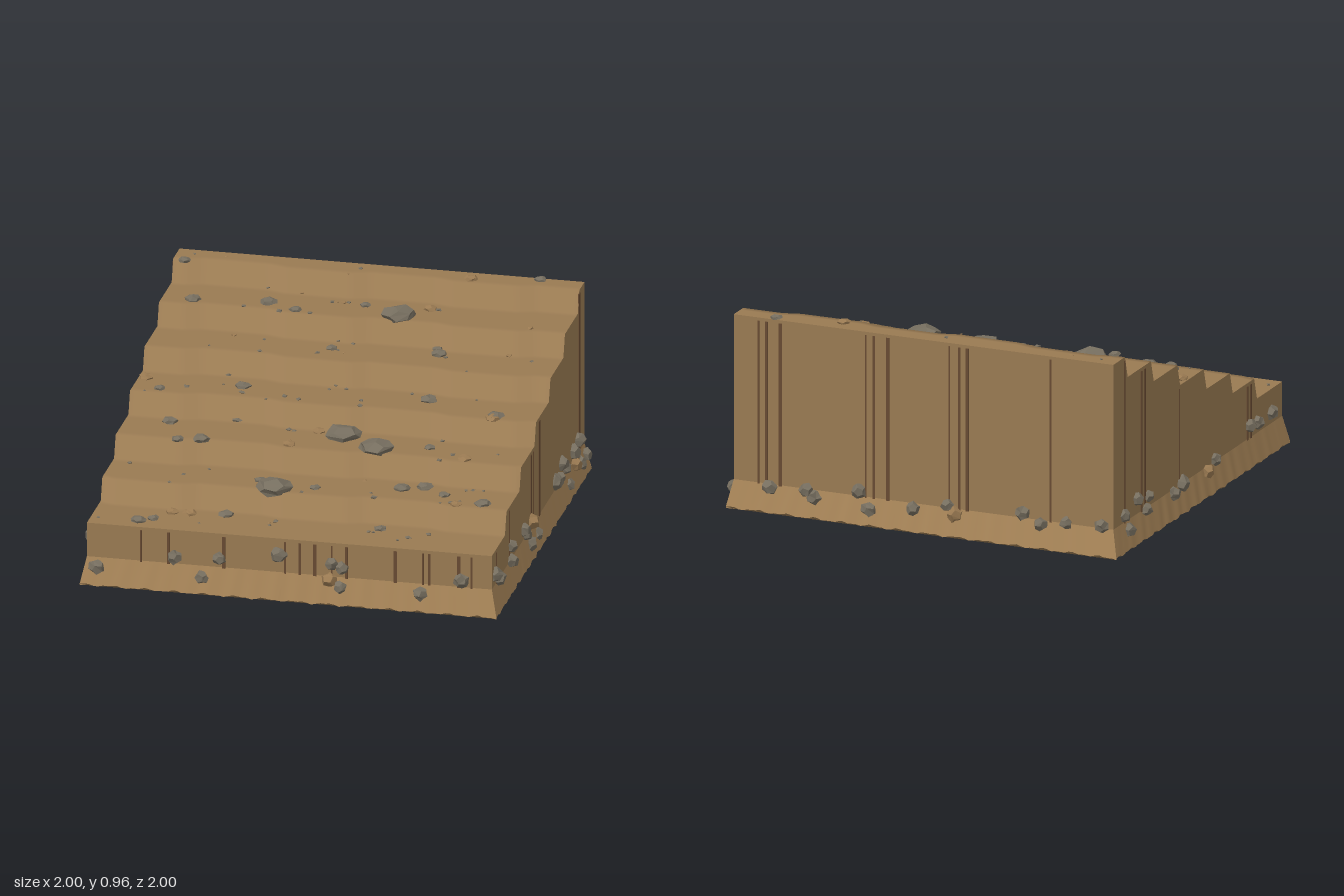
import * as THREE from 'three';
import { toCreasedNormals } from 'three/addons/utils/BufferGeometryUtils.js';

const mat = (name, color, extra = {}) => new THREE.MeshStandardMaterial({ name, color, ...extra });
const HALF = 0.955, BASE = 0.31, RISE = 0.105, STEPS = 6;
const TOP = BASE + RISE * STEPS;

// small seeded generator
function seeded(seed) {
  return () => {
    seed = (seed * 1664525 + 1013904223) % 4294967296;
    return seed / 4294967296;
  };
}

// surface from a rule: fn(i, j) gives a point, i over nu cells and j over nv cells
function grid(nu, nv, fn, crease = 0.6) {
  const pos = [], idx = [], w = nv + 1;
  for (let i = 0; i <= nu; i++) for (let j = 0; j <= nv; j++) pos.push(...fn(i, j));
  for (let i = 0; i < nu; i++) for (let j = 0; j < nv; j++) {
    const a = i * w + j, b = a + w;
    idx.push(a, a + 1, b, b, a + 1, b + 1);
  }
  const g = new THREE.BufferGeometry();
  g.setAttribute('position', new THREE.Float32BufferAttribute(pos, 3));
  g.setIndex(idx);
  return toCreasedNormals(g, crease);
}

// wandering line of each riser
function riserZ(i, x) {
  const s = THREE.MathUtils.clamp(Math.sin(x * 8 + i * 0.5 + 1.2) * 3, -1, 1);
  return 0.658 - 0.295 * i + s * 0.012 - Math.sin(x * 3 + i) * 0.004;
}

// stepped cross-section at x, from front to back
function profile(x) {
  const p = [[HALF, BASE]];
  for (let i = 0; i < STEPS; i++) {
    const z = riserZ(i, x), y = BASE + RISE * i;
    p.push([z + 0.05, y], [z + 0.016, y], [z - 0.016, y + RISE], [z - 0.05, y + RISE]);
  }
  p.push([-HALF, TOP]);
  return p;
}

function heightAt(x, z) {
  let y = BASE;
  for (let i = 0; i < STEPS; i++) if (z < riserZ(i, x)) y += RISE;
  return y;
}

export function createModel() {
  const root = new THREE.Group();
  root.name = 'steppedEarthBlock';
  const earth = mat('earth', 0x997a52, { side: THREE.DoubleSide });
  const loose = mat('looseEarth', 0xa98659, { side: THREE.DoubleSide });
  const streak = mat('streakBrown', 0x674a32);
  const stone = mat('greyStone', 0x766e5f, { flatShading: true });
  const clay = mat('clayStone', 0x9a7a52, { flatShading: true });
  const add = (name, geo, m, parent = root) => {
    const mesh = new THREE.Mesh(geo, m);
    mesh.name = name;
    parent.add(mesh);
    return mesh;
  };

  // stepped top with softly rounded shading at the risers
  const N = 96, last = 4 * STEPS + 1;
  const colX = i => -HALF + (2 * HALF * i) / N;
  add('terraces', grid(last, N, (j, i) => {
    const [z, y] = profile(colX(i))[j];
    return [colX(i), y, z];
  }, 1.5), earth);

  // side walls under the stepped outline, then front and back walls
  for (const s of [1, -1]) {
    const p = profile(s * HALF);
    add(s > 0 ? 'leftWall' : 'rightWall', grid(last, 1, (i, j) => {
      const [z, y] = p[s > 0 ? i : last - i];
      return [s * HALF, j ? 0.13 : y, z];
    }), earth);
    add(s > 0 ? 'frontWall' : 'backWall', grid(1, 1, (i, j) =>
      [s * (i * 2 - 1) * HALF, j ? 0.13 : s > 0 ? BASE : TOP, s * HALF]), earth);
  }

  // flared foot of loose earth with a ragged lower edge and an undercut
  const rag = u => 0.016 + 0.004 * Math.sin(u * 43) + 0.003 * Math.sin(u * 91 + 1);
  const flare = u => 0.983 + 0.003 * Math.sin(u * 60) * (1 - u * u);
  const M = 90, sides = [];
  for (let k = 0; k < 4; k++) {
    const side = new THREE.Group();
    side.name = ['front', 'left', 'back', 'right'][k] + 'Foot';
    side.rotation.y = (k * Math.PI) / 2;
    root.add(side);
    sides.push(side);
    const strip = (upper, lower) => grid(M, 1, (i, j) => {
      const u = -1 + (2 * i) / M, [d, y] = (j ? lower : upper)(u);
      return [u * d, y, d];
    });
    const lip = u => [flare(u), rag(u)];
    add('skirt', strip(() => [HALF, 0.145], lip), loose, side);
    add('undercut', strip(lip, () => [0.95, 0]), earth, side);
  }
  const bottom = add('underside', new THREE.PlaneGeometry(1.9, 1.9), earth);
  bottom.rotation.x = Math.PI / 2;

  // dark water streaks, placed along each side from its left end
  const streaks = [
    [-0.7, -0.57, -0.31, -0.02, 0.05, 0.12, 0.2, 0.27, 0.5, 0.63, 0.66, 0.8, 0.86],
    [-0.865, -0.595, -0.15, -0.105, 0.018, 0.845],
    [-0.83, -0.79, -0.72, -0.29, -0.25, -0.18, 0.13, 0.18, 0.22, 0.64],
    [-0.83, -0.64, -0.6, -0.21, 0.56, 0.6],
  ];
  streaks.forEach((list, k) => list.forEach((u, i) => {
    const wallTop = [BASE, heightAt(HALF, -u), TOP, heightAt(-HALF, u)][k];
    const h = wallTop - 0.155, w = k === 1 && i > 3 ? 0.028 : 0.008 + 0.004 * (i % 3);
    add('streak', new THREE.BoxGeometry(w, h, 0.006), streak, sides[k]).position.set(u, 0.14 + h / 2, HALF);
  }));

  // faceted stones: vertices pushed by a rule so that shared corners stay joined
  const rand = seeded(7);
  const stones = new THREE.Group();
  stones.name = 'stones';
  root.add(stones);
  const axis = new THREE.Vector3(0.6, 0, 0.8);
  function rock(name, x, y, z, r, flat, m, parent = stones) {
    const geo = r > 0.019 ? new THREE.DodecahedronGeometry(r) : new THREE.OctahedronGeometry(r);
    const p = geo.attributes.position, v = new THREE.Vector3(), seed = rand() * 10;
    for (let i = 0; i < p.count; i++) {
      v.fromBufferAttribute(p, i);
      const n = v.clone().divideScalar(r);
      v.multiplyScalar(1 + 0.16 * Math.sin(n.x * 5 + seed) * Math.cos(n.y * 4 + n.z * 6 + seed));
      v.applyAxisAngle(axis, seed);
      p.setXYZ(i, v.x, v.y * flat, v.z);
    }
    const mesh = add(name, geo, m, parent);
    mesh.position.set(x, y, z);
    mesh.rotation.y = rand() * 6.28;
  }
  const lay = (name, list, r, spread, m) => list.forEach(([x, z]) => {
    const size = r + rand() * spread;
    rock(name, x, heightAt(x, z) + size * 0.14, z, size, 0.45, m);
  });

  // main boulders and stones on the terraces: [x, z]
  lay('boulder', [[0.16, -0.6], [0.07, 0.15], [0.25, 0.28], [-0.15, 0.61]], 0.082, 0.006, stone);
  lay('stone', [[-0.81, -0.6], [-0.46, -0.64], [0.39, -0.43], [-0.46, -0.1], [0.41, -0.12], [0.76, 0.02],
    [-0.75, 0.15], [-0.56, 0.34], [0.52, 0.44], [0.42, 0.48], [0.83, 0.59], [-0.35, 0.72], [-0.73, 0.88]],
  0.036, 0.008, stone);
  lay('smallStone', [[-0.02, -0.7], [-0.11, -0.4], [0.49, 0.21], [0.63, 0.52], [-0.24, 0.52], [0.03, 0.56],
    [0.75, -0.93], [-0.9, -0.81], [-0.32, -0.57], [0.38, 0.74], [0.37, -0.49], [-0.66, 0.36], [-0.67, 0.84],
    [-0.83, 0.01], [-0.45, 0.06]], 0.025, 0.006, stone);
  lay('clayStone', [[0.44, -0.87], [-0.05, 0.12], [-0.15, 0.31], [0.68, 0.31], [-0.6, 0.74], [-0.52, 0.74],
    [0.71, 0.62], [-0.92, -0.11], [0.28, -0.72], [0.75, 0.045]], 0.03, 0.006, clay);

  // scattered pebbles
  for (let i = 0; i < 80; i++) {
    const x = (rand() * 2 - 1) * 0.92, z = (rand() * 2 - 1) * 0.92, r = 0.008 + rand() * 0.01;
    rock('pebble', x, heightAt(x, z) + r * 0.2, z, r, 0.5, i % 6 ? stone : clay);
  }

  // stones piled around the foot: [position along side, height]
  const piles = [
    [[-0.905, 0.1], [-0.41, 0.09], [-0.54, 0.18], [-0.33, 0.19], [-0.05, 0.23], [0.2, 0.21],
      [0.25, 0.19], [0.19, 0.13], [0.24, 0.1], [0.62, 0.1], [0.81, 0.18]],
    [[-0.9, 0.2], [-0.84, 0.16], [-0.58, 0.22], [-0.59, 0.15], [-0.31, 0.2], [-0.27, 0.16], [-0.2, 0.09],
      [-0.15, 0.18], [-0.06, 0.08], [0.34, 0.19], [0.41, 0.18], [0.47, 0.23], [0.54, 0.18], [0.59, 0.08],
      [0.7, 0.2], [0.72, 0.13], [0.8, 0.22], [0.84, 0.09], [0.93, 0.1]],
    [[-0.77, 0.13], [-0.59, 0.14], [-0.55, 0.11], [-0.32, 0.17], [-0.27, 0.09], [-0.05, 0.12],
      [0.12, 0.16], [0.16, 0.12], [0.5, 0.17], [0.59, 0.13], [0.72, 0.15], [0.9, 0.16]],
    [[-0.84, 0.18], [-0.8, 0.1], [-0.7, 0.22], [-0.57, 0.2], [-0.6, 0.14], [-0.29, 0.13], [-0.19, 0.15],
      [0.09, 0.13], [0.18, 0.16], [0.57, 0.21], [0.66, 0.2], [0.82, 0.2]],
  ];
  piles.forEach((list, k) => list.forEach(([u, y], i) => {
    const r = 0.032 + rand() * 0.01;
    const d = Math.min(0.96 + Math.max(0, 0.14 - y) * 0.2, 0.998 - r);
    rock('footStone', u, y, d, r, 0.95, i % 8 === 7 ? clay : stone, sides[k]);
  }));
  return root;
}
